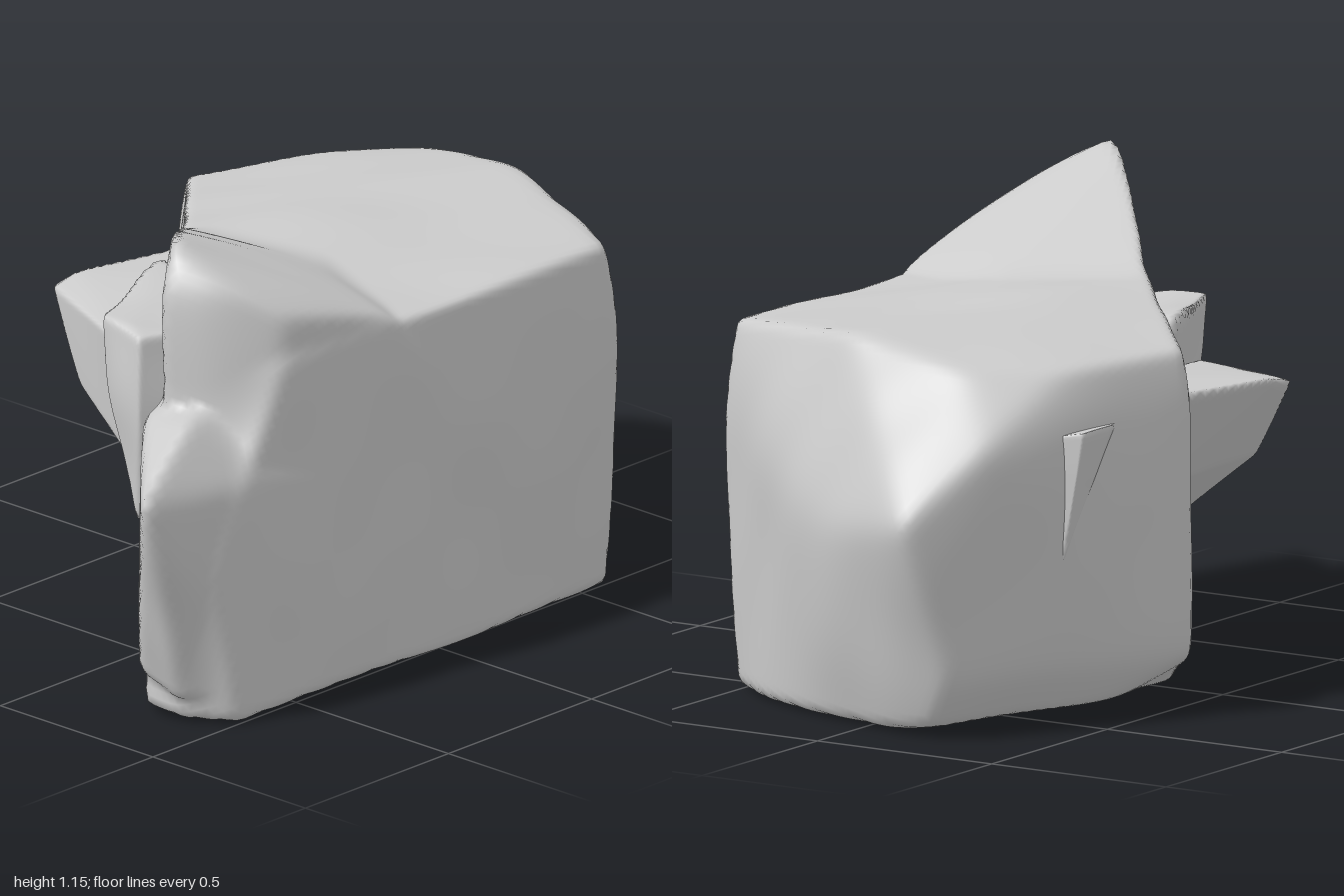
import * as THREE from 'three';
import { mergeVertices } from 'three/addons/utils/BufferGeometryUtils.js';
import { ConvexGeometry } from 'three/addons/geometries/ConvexGeometry.js';

const V = (p) => new THREE.Vector3(...p);

// Distance from a centre to a softly rounded convex block, along a direction.
function blockRadius(corners, centre, sharpness) {
  const pos = new ConvexGeometry(corners.map(V)).attributes.position;
  const planes = [];
  const tri = new THREE.Triangle();
  for (let i = 0; i < pos.count; i += 3) {
    tri.setFromAttributeAndIndices(pos, i, i + 1, i + 2);
    if (tri.getArea() < 1e-6) continue;
    const n = tri.getNormal(new THREE.Vector3());
    const d = Math.max(0.01, n.dot(tri.a) - n.dot(centre));
    const same = planes.some((q) => q.n.dot(n) > 0.998 && Math.abs(q.d - d) < 0.02);
    if (!same) planes.push({ n, d });
  }
  return (dir) => {
    let sum = 0;
    for (const { n, d } of planes) sum += Math.max(0, n.dot(dir) / d) ** sharpness;
    return sum ** (-1 / sharpness);
  };
}

const smoothMax = (a, b, k) => {
  const h = Math.max(0, k - Math.abs(a - b)) / k;
  return Math.max(a, b) + h * h * k * 0.25;
};

// Gentle worn unevenness of the stone.
const wear = (p) =>
  Math.sin(p.x * 7 + p.y * 4 + 1) * Math.sin(p.y * 6 - p.z * 8) +
  0.5 * Math.sin(p.x * 15 - p.z * 11) * Math.sin(p.y * 13 + p.z * 9 + 2);

// One skin over several blocks that share a centre.
function rockGeometry(blocks, centre, { detail, sharpness, blend, rough }) {
  const radii = blocks.map((b) => blockRadius(b, centre, sharpness));
  let geo = new THREE.IcosahedronGeometry(1, detail);
  geo.deleteAttribute('uv');
  geo.deleteAttribute('normal');
  geo = mergeVertices(geo, 1e-5);
  const pos = geo.attributes.position;
  const dir = new THREE.Vector3();
  const p = new THREE.Vector3();
  for (let i = 0; i < pos.count; i++) {
    dir.fromBufferAttribute(pos, i).normalize();
    const r = radii.map((f) => f(dir)).reduce((a, b) => smoothMax(a, b, blend));
    p.copy(centre).addScaledVector(dir, r);
    p.addScaledVector(dir, rough * wear(p));
    pos.setXYZ(i, p.x, p.y, p.z);
  }
  return geo;
}

// Main mass: flat front, slanting back left, faceted right end
const mainBlock = [
  [-0.7, 0, 0.51], [-0.8, 0, 0.38], [-0.8, 0.01, 0.28], [0.56, 0, 0.52],
  [0.73, 0, 0.28], [0.83, 0, -0.1], [0.84, 0.02, -0.22], [0.87, 0.13, -0.29],
  [0.4, 0.03, -0.42], [0.05, 0.02, -0.38], [0.22, 0.13, -0.56], [-0.8, 0.4, 0.51],
  [0.58, 0.65, 0.56], [0.89, 0.5, 0.08], [1.025, 0.54, -0.24], [0.82, 0.72, -0.39],
  [0.6, 0.5, -0.44], [-0.73, 0.8, 0.28], [-0.55, 0.88, 0.52], [0.55, 0.885, 0.54],
  [0.71, 0.93, 0.1], [0.74, 0.89, -0.24], [0.56, 0.87, -0.42], [0.22, 0.88, -0.53],
  [0.21, 0.76, -0.555], [-0.2, 0.95, -0.16],
];

// Raised peak along the back left edge
const peakBlock = [
  [-0.69, 1.165, 0.28], [-0.61, 1.15, 0.19], [-0.75, 1.06, 0.29], [-0.75, 0.7, 0.3],
  [-0.71, 1.07, 0.37], [-0.64, 1.07, 0.44], [-0.54, 0.99, 0.51], [-0.36, 1.04, 0.03],
  [-0.2, 0.96, -0.15], [-0.1, 0.93, 0.2], [-0.2, 0.91, 0.53], [-0.7, 0.02, 0.49],
  [-0.3, 0.02, 0.5], [0.2, 0.75, 0], [0.4, 0.3, 0.2], [0.3, 0.3, -0.4],
  [0.3, 0.3, 0.45], [0, 0.1, 0],
];

// Low pointed spur at the front left, with the wall swelling behind it
const spurBlock = [
  [-1.03, 0.635, 0.485], [-0.92, 0.71, 0.46], [-0.8, 0.775, 0.43], [-0.79, 0.75, 0.27],
  [-0.88, 0.4, 0.5], [-0.82, 0.06, 0.42], [-0.81, 0.1, 0.27], [-0.66, 0.5, 0.14],
  [-0.6, 0.6, 0.53], [-0.6, 0.1, 0.5], [0.3, 0.6, 0.2], [0.3, 0.2, 0.2],
  [0.3, 0.4, -0.4], [0.3, 0.4, 0.4], [0, 0.75, 0], [0, 0.1, 0],
];

// Fragments standing proud of the back faces
const fragments = {
  backLedge: [
    [-0.25, 0.72, -0.53], [-0.17, 0.74, -0.53], [-0.02, 0.74, -0.46], [0.12, 0.74, -0.46],
    [-0.4, 0.71, -0.17], [-0.3, 0.52, -0.4], [-0.25, 0.32, -0.16], [-0.42, 0.36, -0.04],
    [-0.37, 0.45, -0.17], [0, 0.48, -0.32], [0, 0.75, -0.28],
  ],
  backCrag: [
    [-0.54, 0.84, -0.1], [-0.54, 0.85, 0], [-0.57, 0.83, 0.05], [-0.17, 0.85, -0.25],
    [-0.54, 0.68, -0.08], [-0.58, 0.6, 0.06], [-0.57, 0.34, 0.04], [-0.46, 0.33, -0.04],
    [-0.36, 0.36, -0.1], [-0.35, 0.55, -0.14], [-0.25, 0.84, -0.08], [-0.47, 0.84, 0.09],
    [-0.48, 0.36, 0.1],
  ],
  backSpike: [
    [0.6, 0.73, -0.5], [0.48, 0.73, -0.5], [0.39, 0.73, -0.47], [0.62, 0.71, -0.4],
    [0.6, 0.41, -0.44], [0.56, 0.41, -0.42],
  ],
};

export function createModel() {
  const group = new THREE.Group();
  const material = new THREE.MeshStandardMaterial({ color: 0xcccccc });
  const add = (name, geo) => {
    geo.computeVertexNormals();
    const mesh = new THREE.Mesh(geo, material);
    mesh.name = name;
    group.add(mesh);
  };

  add('boulder', rockGeometry([mainBlock, peakBlock, spurBlock], V([0, 0.45, 0.05]),
    { detail: 52, sharpness: 80, blend: 0.04, rough: 0.006 }));

  for (const [name, corners] of Object.entries(fragments)) {
    const centre = new THREE.Vector3();
    corners.forEach((c) => centre.addScaledVector(V(c), 1 / corners.length));
    add(name, rockGeometry([corners], centre,
      { detail: 28, sharpness: 60, blend: 0.02, rough: name === 'backCrag' ? 0.015 : 0.003 }));
  }
  return group;
}
